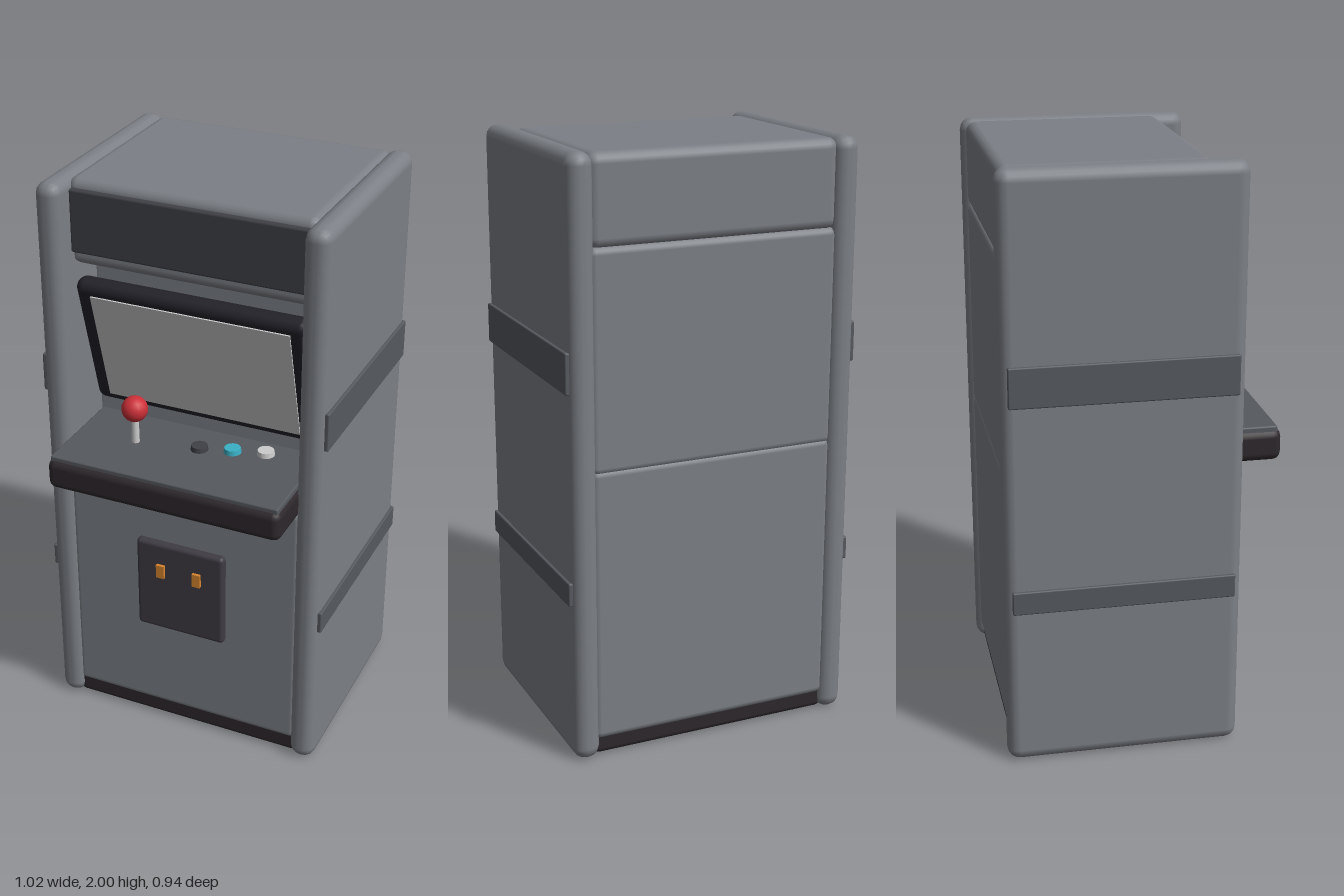
import * as THREE from 'three';
import { RoundedBoxGeometry } from 'three/addons/geometries/RoundedBoxGeometry.js';

const mat = (color, roughness) => new THREE.MeshStandardMaterial({ color });

export function createModel() {
  const model = new THREE.Group();
  const body = mat(0x7c8086), strip = mat(0x565a5f), dark = mat(0x2e282c);
  const bezelMat = mat(0x23222a), panelMat = mat(0x3f4146), doorMat = mat(0x3f3c44);
  const grey = mat(0xcccccc), red = mat(0xcc3038), teal = mat(0x3ab0c4), amber = mat(0xd9872f);

  const add = (name, geometry, material, parent = model) => {
    const mesh = new THREE.Mesh(geometry, material);
    mesh.name = name;
    parent.add(mesh);
    return mesh;
  };
  // Rounded box given by its extents on each axis
  const block = (name, [x0, x1], [y0, y1], [z0, z1], radius, material, parent) => {
    const geo = new RoundedBoxGeometry(x1 - x0, y1 - y0, z1 - z0, 2, radius);
    geo.translate((x0 + x1) / 2, (y0 + y1) / 2, (z0 + z1) / 2);
    return add(name, geo, material, parent);
  };

  // Cabinet core, stacked from the floor up
  block('base', [-0.43, 0.43], [0.005, 0.09], [-0.445, 0.295], 0.02, dark);
  block('lowerCabinet', [-0.43, 0.43], [0.06, 1.0], [-0.455, 0.3], 0.025, body);
  block('middleCabinet', [-0.43, 0.43], [0.98, 1.71], [-0.455, 0.08], 0.025, body);
  block('topCabinet', [-0.43, 0.43], [1.7, 1.995], [-0.455, 0.225], 0.035, body);

  // Side panels with two raised bands each
  for (const [side, s] of [['left', 1], ['right', -1]]) {
    const panel = new THREE.Group();
    panel.name = side + 'Side';
    model.add(panel);
    const span = (a, b) => (s > 0 ? [a, b] : [-b, -a]);
    block('sidePanel', span(0.41, 0.5), [0, 2], [-0.47, 0.32], 0.042, body, panel);
    block('upperBand', span(0.485, 0.51), [1.255, 1.39], [-0.445, 0.295], 0.005, strip, panel);
    block('lowerBand', span(0.485, 0.51), [0.55, 0.63], [-0.445, 0.295], 0.005, strip, panel);
  }

  // Header sign panel
  block('headerPanel', [-0.412, 0.412], [1.75, 1.965], [0.19, 0.242], 0.008, panelMat);

  // Screen and its frame, leaning forward at the top
  const display = new THREE.Group();
  display.name = 'display';
  display.position.set(0, 1.4, 0.18);
  display.rotation.x = 0.27;
  model.add(display);
  block('screenFrame', [-0.41, 0.41], [-0.255, 0.255], [-0.07, 0], 0.033, bezelMat, display);
  const screen = add('screen', new THREE.BoxGeometry(0.7, 0.425, 0.02), grey, display);
  screen.position.z = -0.005;

  // Control deck
  block('controlDeck', [-0.418, 0.418], [0.985, 1.093], [0.04, 0.467], 0.028, dark);
  block('controlPlate', [-0.408, 0.408], [1.08, 1.105], [0.05, 0.453], 0.006, strip);

  // Joystick
  const joystick = new THREE.Group();
  joystick.name = 'joystick';
  joystick.position.set(-0.193, 1.1, 0.25);
  model.add(joystick);
  add('stick', new THREE.CylinderGeometry(0.012, 0.014, 0.12, 12), grey, joystick).position.y = 0.055;
  add('ballTop', new THREE.SphereGeometry(0.045, 16, 12), red, joystick).position.y = 0.13;

  // Buttons
  [[0.025, 0.21, panelMat], [0.132, 0.18, teal], [0.24, 0.15, grey]].forEach(([x, z, m], i) => {
    add('button' + (i + 1), new THREE.CylinderGeometry(0.028, 0.031, 0.024, 16), m).position.set(x, 1.11, z);
  });

  // Coin door with two slots
  block('coinDoor', [-0.165, 0.162], [0.413, 0.767], [0.285, 0.325], 0.015, doorMat);
  for (const x of [-0.07, 0.065]) {
    add('coinSlot', new THREE.BoxGeometry(0.03, 0.05, 0.02), amber).position.set(x, 0.66, 0.326);
  }

  return model;
}
